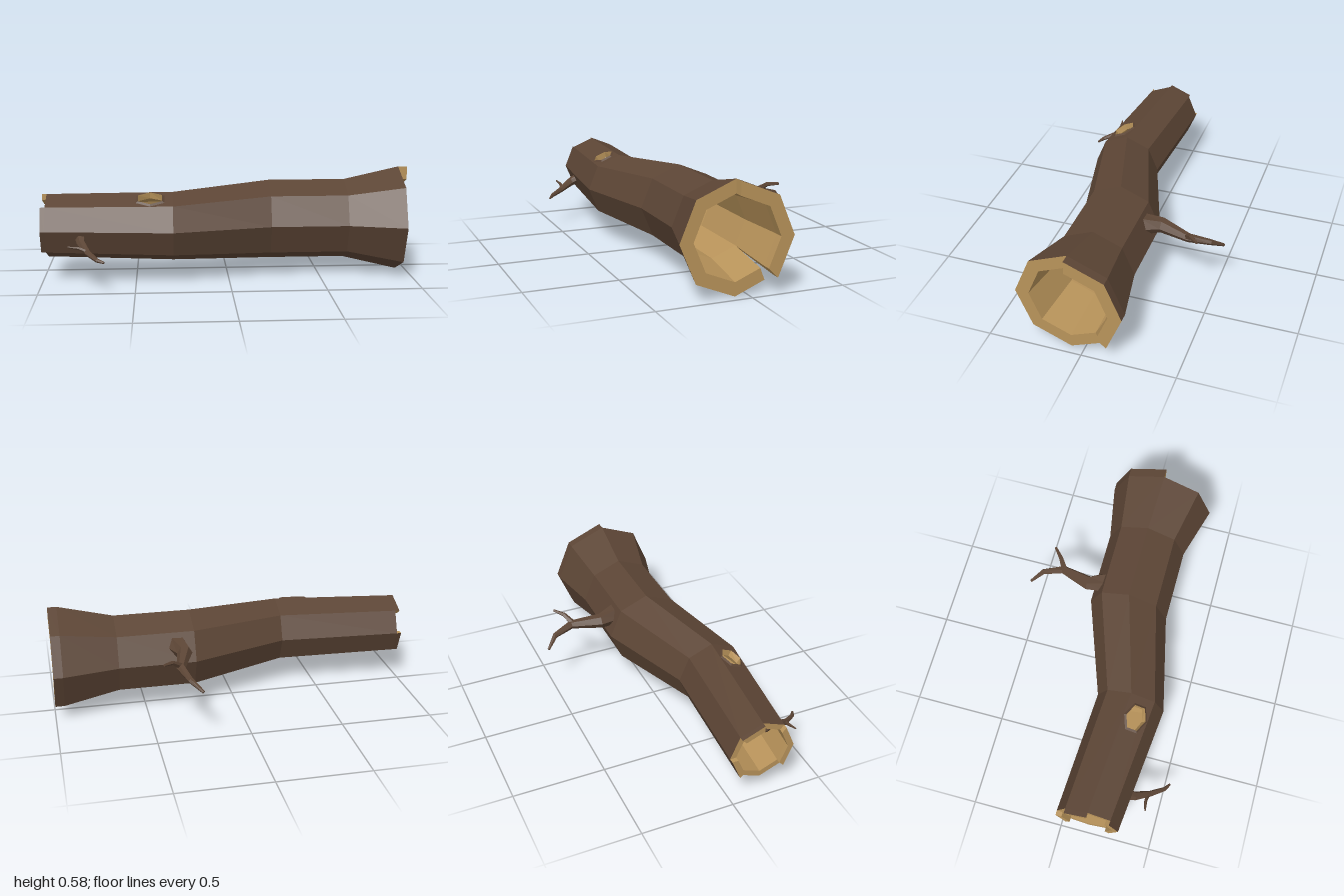
import * as THREE from 'three';

const BARK = 0x5c4535, WOOD = 0xb8935a;
const CY = 0.292, SIDES = 8, KNOT_CELL = 1, CRACK_CELL = 4;

// Rings along the log: x, centre z, outer radius, inner radius
const RINGS = [
  [-1, 0.153, 0.171, 0.138], [-0.975, 0.154, 0.172, 0.139], [-0.3, 0.208, 0.186, 0.16],
  [0.23, 0.055, 0.22, 0.185], [0.65, 0.055, 0.22, 0.185], [0.95, 0.07, 0.29, 0.218], [1, 0.07, 0.29, 0.218],
];
// Staves reaching the jagged tips at each end (stave 0 starts at the top, going to the front)
const TIP_LEFT = [1, 2, 5, 7], TIP_RIGHT = [5, 6, 7];

const mat = (color) => new THREE.MeshStandardMaterial({ color, flatShading: true, roughness: 0.9 });

// Collects flat quads into one mesh
class Quads {
  constructor() { this.p = []; }
  add(a, b, c, d, flip = false) {
    const t = flip ? [a, c, b, a, d, c] : [a, b, c, a, c, d];
    for (const v of t) this.p.push(v.x, v.y, v.z);
  }
  tri(a, b, c) { for (const v of [a, b, c]) this.p.push(v.x, v.y, v.z); }
  mesh(name, color) {
    const g = new THREE.BufferGeometry();
    g.setAttribute('position', new THREE.Float32BufferAttribute(this.p, 3));
    g.computeVertexNormals();
    const m = new THREE.Mesh(g, mat(color));
    m.name = name;
    return m;
  }
}

function ringPoint(i, k, inner) {
  const [x, cz, ro, ri] = RINGS[i], r = inner ? ri : ro, a = k * Math.PI * 2 / SIDES;
  return new THREE.Vector3(x, CY + r * Math.cos(a), cz + r * Math.sin(a));
}

// Corner of a stave; the crack pulls one corner away from its neighbour
function corner(i, k, stave, inner) {
  const p = ringPoint(i, k, inner);
  if (stave === 4 && k === 5 && i >= 5) p.lerp(ringPoint(i, 4, inner), inner ? 0.13 : 0.23);
  return p;
}

function hasCell(i, s) {
  if (i < 0 || i > RINGS.length - 2) return false;
  if (i === 0) return TIP_LEFT.includes(s);
  if (i === RINGS.length - 2) return TIP_RIGHT.includes(s);
  return true;
}

// Point on the knot cell, u along the log and v across the stave
function knotPoint(u, v, inner, lift = 0) {
  const a = ringPoint(1, 0, inner).lerp(ringPoint(2, 0, inner), u);
  const b = ringPoint(1, 1, inner).lerp(ringPoint(2, 1, inner), u);
  return a.lerp(b, v).add(new THREE.Vector3(0, 0.924 * lift, 0.383 * lift));
}

function knotHex(scale) {
  return Array.from({ length: 6 }, (_, j) => {
    const a = Math.PI / 6 + j * Math.PI / 3;
    return new THREE.Vector2(0.822 + 0.11 * scale * Math.cos(a), 0.5 + 0.41 * scale * Math.sin(a));
  });
}

// Stave panel with the knot hole cut through it
function addKnotPanel(quads, inner) {
  const s = new THREE.Shape([[0, 0], [1, 0], [1, 1], [0, 1]].map(([x, y]) => new THREE.Vector2(x, y)));
  s.holes.push(new THREE.Path(knotHex(1).reverse()));
  const g = new THREE.ShapeGeometry(s), pos = g.attributes.position, idx = g.index.array;
  const at = (n) => knotPoint(pos.getX(n), pos.getY(n), inner);
  for (let n = 0; n < idx.length; n += 3) {
    const [a, b, c] = [at(idx[n]), at(idx[n + 1]), at(idx[n + 2])];
    inner ? quads.tri(a, b, c) : quads.tri(a, c, b);
  }
}

// Low-poly limb through points [x, y, z, radius]
function limb(name, pts, sides) {
  const centres = pts.map((p) => new THREE.Vector3(p[0], p[1], p[2]));
  const rings = centres.map((c, i) => {
    const dir = centres[Math.min(i + 1, pts.length - 1)].clone().sub(centres[Math.max(i - 1, 0)]).normalize();
    const side = new THREE.Vector3(0, 1, 0).cross(dir).normalize(), up = dir.clone().cross(side);
    return Array.from({ length: sides }, (_, j) => {
      const a = j * Math.PI * 2 / sides;
      return c.clone().addScaledVector(side, pts[i][3] * Math.cos(a)).addScaledVector(up, pts[i][3] * Math.sin(a));
    });
  });
  const q = new Quads(), last = rings.length - 1;
  for (let j = 0; j < sides; j++) {
    const n = (j + 1) % sides;
    for (let i = 0; i < last; i++) q.add(rings[i][j], rings[i][n], rings[i + 1][n], rings[i + 1][j]);
    q.tri(centres[last], rings[last][j], rings[last][n]);
    q.tri(centres[0], rings[0][n], rings[0][j]);
  }
  return q.mesh(name, BARK);
}

export function createModel() {
  const group = new THREE.Group();
  group.name = 'hollowLog';
  const bark = new Quads(), wood = new Quads();

  // Log wall, stave by stave
  for (let i = 0; i < RINGS.length - 1; i++) {
    for (let s = 0; s < SIDES; s++) {
      if (!hasCell(i, s)) continue;
      const P = (di, dk, inner) => corner(i + di, s + dk, s, inner);
      if (i === KNOT_CELL && s === 0) {
        addKnotPanel(bark, false);
        addKnotPanel(wood, true);
      } else {
        bark.add(P(0, 0, false), P(0, 1, false), P(1, 1, false), P(1, 0, false));
        wood.add(P(0, 0, true), P(1, 0, true), P(1, 1, true), P(0, 1, true));
      }
      // Exposed end grain
      for (const d of [0, 1]) {
        if (hasCell(d ? i + 1 : i - 1, s)) continue;
        wood.add(P(d, 0, false), P(d, 1, false), P(d, 1, true), P(d, 0, true), d === 0);
      }
      // Exposed sides of the tips and the crack
      for (const d of [0, 1]) {
        const neighbour = (s + (d ? 1 : SIDES - 1)) % SIDES;
        const crack = i === CRACK_CELL && ((s === 4 && d === 1) || (s === 5 && d === 0));
        if (hasCell(i, neighbour) && !crack) continue;
        wood.add(P(0, d, false), P(1, d, false), P(1, d, true), P(0, d, true), d === 1);
      }
    }
  }

  // Knot hole: raised bark lip and wooden wall
  const lip = new Quads(), hexIn = knotHex(1), hexOut = knotHex(1.2);
  for (let j = 0; j < 6; j++) {
    const n = (j + 1) % 6;
    const top = [hexIn[j], hexIn[n]].map((h) => knotPoint(h.x, h.y, false, 0.008));
    const base = [hexOut[j], hexOut[n]].map((h) => knotPoint(h.x, h.y, false, -0.001));
    const low = [hexIn[j], hexIn[n]].map((h) => knotPoint(h.x, h.y, true));
    lip.add(base[0], top[0], top[1], base[1]);
    wood.add(top[0], low[0], low[1], top[1]);
  }

  group.add(bark.mesh('bark', BARK), wood.mesh('innerWood', WOOD), lip.mesh('knotLip', BARK));

  // Back branch and its twig
  group.add(limb('backBranch', [
    [0.33, 0.372, -0.09, 0.06], [0.3, 0.367, -0.2, 0.041], [0.347, 0.355, -0.36, 0.024],
    [0.315, 0.33, -0.47, 0.016], [0.26, 0.286, -0.53, 0.008]], 6));
  group.add(limb('backTwig', [
    [0.345, 0.36, -0.35, 0.018], [0.395, 0.4, -0.385, 0.012], [0.445, 0.41, -0.43, 0.007]], 5));

  // Front branch and its twig
  group.add(limb('frontBranch', [
    [-0.79, 0.265, 0.28, 0.036], [-0.78, 0.235, 0.36, 0.024], [-0.74, 0.2, 0.435, 0.016],
    [-0.69, 0.18, 0.505, 0.011], [-0.655, 0.173, 0.527, 0.006]], 6));
  group.add(limb('frontTwig', [
    [-0.75, 0.207, 0.425, 0.011], [-0.79, 0.225, 0.422, 0.009], [-0.845, 0.235, 0.432, 0.004]], 5));
  return group;
}
